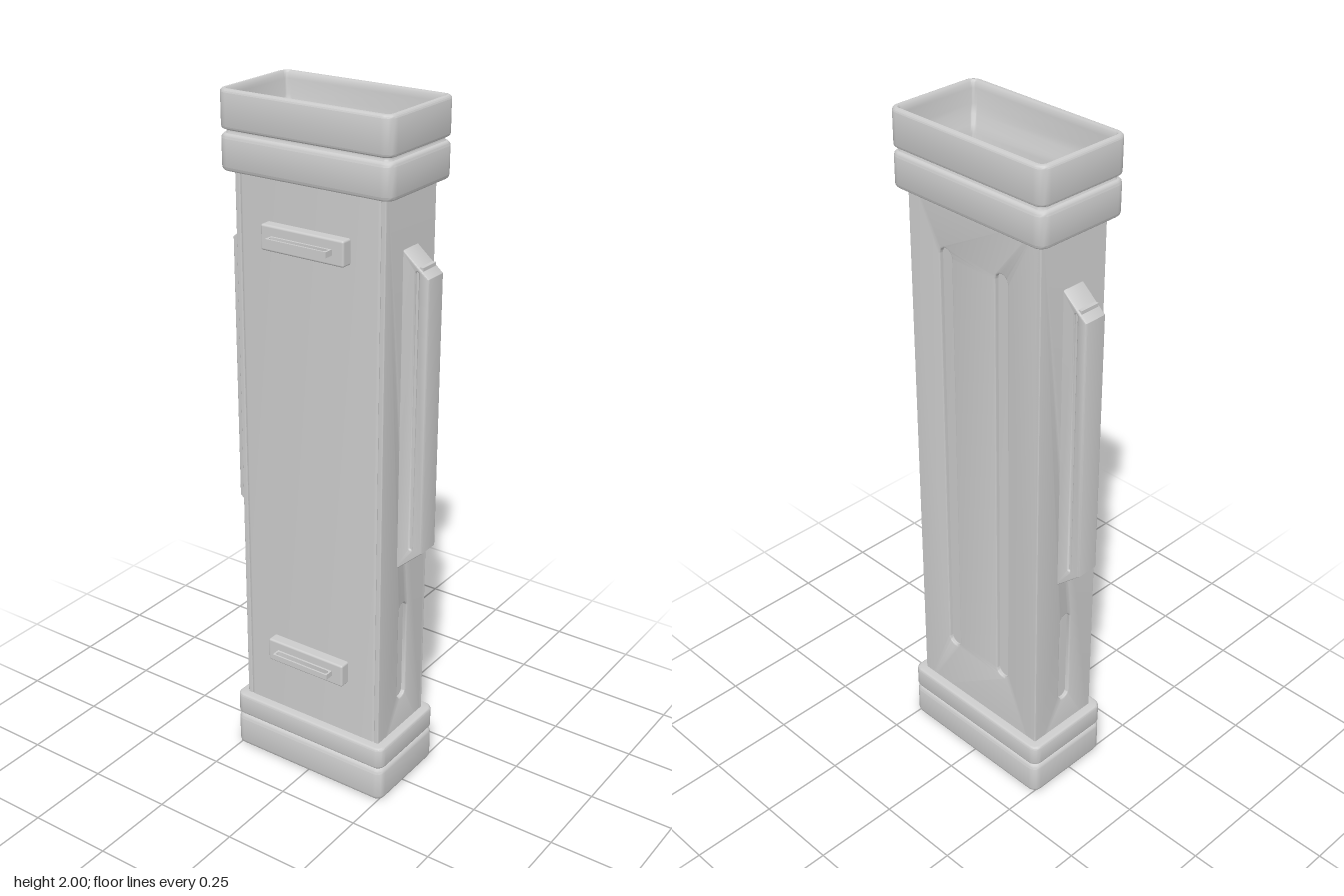
import * as THREE from 'three';
import { toCreasedNormals } from 'three/addons/utils/BufferGeometryUtils.js';
import { RoundedBoxGeometry } from 'three/addons/geometries/RoundedBoxGeometry.js';

const material = new THREE.MeshStandardMaterial({ color: 0xcccccc });
const HX = 0.1475, HZ = 0.266;      // cap half sizes
const BX = 0.1165, BZ = 0.235;      // body half sizes
const CX = 0.0125;                  // casing centre in x

function add(parent, name, geometry, x = 0, y = 0, z = 0) {
  const mesh = new THREE.Mesh(geometry, material);
  mesh.name = name;
  mesh.position.set(x, y, z);
  parent.add(mesh);
  return mesh;
}

// Rounded-rectangle rings stacked along a profile of [inset, y]
function loft(profile, hx, hz, radius) {
  const pos = [], index = [], steps = 5, n = 4 * (steps + 1);
  for (const [inset, y] of profile) {
    const a = Math.max(hx - inset, 0), b = Math.max(hz - inset, 0);
    const r = Math.min(Math.max(radius - inset, 0.012), a, b);
    for (let q = 0; q < 4; q++) {
      const sx = q === 0 || q === 3 ? 1 : -1, sz = q < 2 ? 1 : -1;
      for (let k = 0; k <= steps; k++) {
        const t = (q + k / steps) * Math.PI / 2;
        pos.push(sx * (a - r) + r * Math.cos(t), y, sz * (b - r) + r * Math.sin(t));
      }
    }
  }
  for (let i = 0; i < profile.length - 1; i++) {
    for (let j = 0; j < n; j++) {
      const p = i * n + j, q = i * n + (j + 1) % n;
      index.push(p, p + n, q, q, p + n, q + n);
    }
  }
  const g = new THREE.BufferGeometry();
  g.setAttribute('position', new THREE.Float32BufferAttribute(pos, 3));
  g.setIndex(index);
  return toCreasedNormals(g, 0.7);
}

// Outer side of one band, with rounded lower and upper edges
function band(y0, y1, inset, e = 0.012) {
  const lower = [], upper = [];
  for (let k = 0; k <= 3; k++) {
    const t = k * Math.PI / 6, s = e * (1 - Math.sin(t)), c = e * (1 - Math.cos(t));
    lower.push([inset + s, y0 + c]);
    upper.unshift([inset + s, y1 - c]);
  }
  return [...lower, ...upper];
}

// Upright slot with round ends
function slot(u, y0, y1, r) {
  const p = new THREE.Path();
  p.absarc(u, y1 - r, r, 0, Math.PI, false);
  p.absarc(u, y0 + r, r, Math.PI, Math.PI * 2, false);
  p.closePath();
  return p;
}

function polygon(points) {
  return new THREE.Shape(points.map(([x, y]) => new THREE.Vector2(x, y)));
}

function extrude(shape, depth, bevel) {
  const g = new THREE.ExtrudeGeometry(shape, {
    depth, bevelEnabled: bevel > 0, bevelSize: bevel, bevelThickness: bevel,
    bevelOffset: -bevel, bevelSegments: 3, curveSegments: 10,
  });
  return toCreasedNormals(g, 0.6);
}

// Body side with recessed slots, its outer face at z = offset before turning
function panel(halfWidth, offset, slots, turn) {
  const shape = polygon([[-halfWidth, 0.1], [halfWidth, 0.1], [halfWidth, 1.85], [-halfWidth, 1.85]]);
  shape.holes.push(...slots);
  return extrude(shape, 0.008, 0.004).translate(0, 0, offset - 0.012).rotateY(turn);
}

export function createModel() {
  const model = new THREE.Group();
  model.name = 'container';
  const casing = new THREE.Group();
  casing.name = 'casing';
  casing.position.x = CX;
  model.add(casing);

  // Closed base of two bands
  add(casing, 'baseCap', loft([
    [HX, 0], ...band(0, 0.107, 0.004, 0.015), [0.016, 0.109],
    ...band(0.111, 0.18, 0.004, 0.008), [0.045, 0.18],
  ], HX, HZ, 0.03));

  // Open collar of two bands, funnel lip and hollow inside
  add(casing, 'collar', loft([
    [0.045, 1.788], ...band(1.788, 1.886, 0, 0.012), [0.014, 1.889], [0.014, 1.894],
    ...band(1.897, 2, 0, 0.008), [0.014, 2], [0.018, 1.995], [0.02, 1.98],
    [0.022, 1.94], [0.027, 1.915], [0.036, 1.89], [0.042, 1.87], [0.043, 1.81],
    [0.049, 1.8], [0.05, 1.79], [0.05, 1.32], [0.054, 1.306], [0.064, 1.3], [HX, 1.3],
  ], HX, HZ, 0.03));

  // Body core and slotted sides
  add(casing, 'bodyCore', loft([[0, 0.1], [0, 1.85]], 0.1105, 0.223, 0.004), -0.006);
  add(casing, 'slottedSide', panel(BZ, BX,
    [-0.1, 0.1].map(u => slot(u, 0.349, 1.661, 0.022)), Math.PI / 2));
  for (const [name, turn] of [['front', 0], ['back', Math.PI]]) {
    add(casing, name + 'Side', panel(BX, BZ, [slot(0, 0.277, 0.593, 0.02)], turn));

    // Chamfered grip with a shallow slot along each flank
    const grip = new THREE.Group();
    grip.name = name + 'Grip';
    grip.rotation.y = turn;
    casing.add(grip);
    const outline = polygon([[0.225, 0.712], [0.312, 0.79], [0.312, 1.574], [0.225, 1.646]]);
    outline.holes.push(slot(0.277, 0.793, 1.587, 0.004));
    add(grip, 'gripShell', extrude(outline, 0.061, 0.005)
      .translate(0, 0, -0.0305).rotateY(-Math.PI / 2));
    add(grip, 'gripCore', new THREE.BoxGeometry(0.061, 0.82, 0.03), 0, 1.19, 0.277);
  }

  // Strap brackets: a plate with a flat slotted loop
  for (const [name, y] of [['upper', 1.635], ['lower', 0.385]]) {
    const bracket = new THREE.Group();
    bracket.name = name + 'Bracket';
    bracket.position.y = y;
    model.add(bracket);
    add(bracket, 'bracketPlate', new RoundedBoxGeometry(0.036, 0.07, 0.26, 3, 0.006), -0.118, 0, 0);
    const loop = polygon([[-0.163, -0.095], [-0.125, -0.095], [-0.125, 0.095], [-0.163, 0.095]]);
    loop.holes.push(slot(-0.15, -0.09, 0.09, 0.008));
    add(bracket, 'bracketLoop', extrude(loop, 0.016, 0)
      .translate(0, 0, -0.008).rotateX(-Math.PI / 2));
  }
  return model;
}
